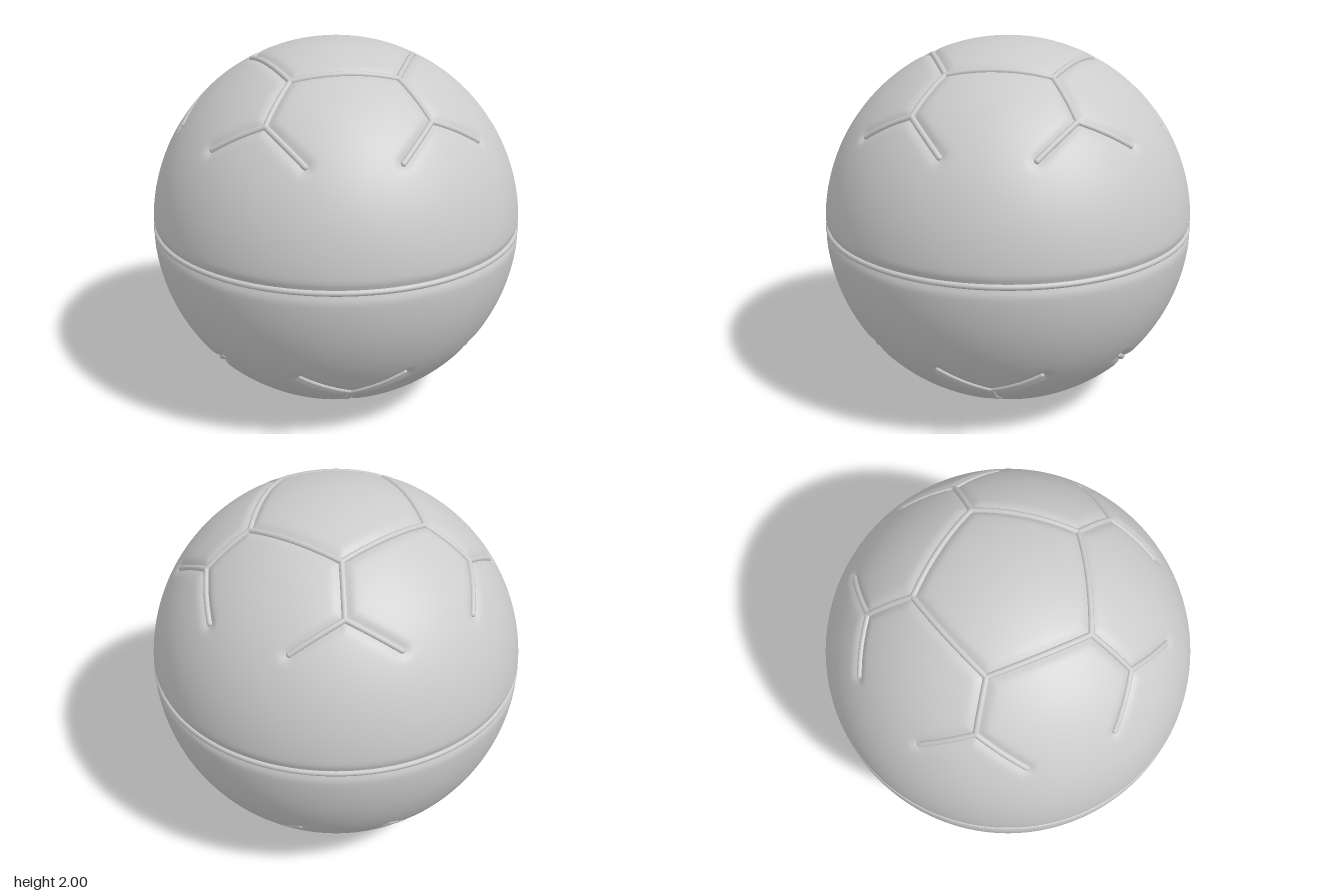
import * as THREE from 'three';
import { mergeVertices } from 'three/addons/utils/BufferGeometryUtils.js';

const PIPE = 0.0155;      // piping radius
const SEAT = 0.985;       // distance of the piping from the ball centre
const DIP = 0.017;        // depth of the channel beside the piping
const WIDTH = 0.032;      // softness of the channel

// Point on the unit sphere; azimuth 0 points to the back (-z)
function onSphere(polarDeg, azimuthDeg) {
  const p = THREE.MathUtils.degToRad(polarDeg), a = THREE.MathUtils.degToRad(azimuthDeg);
  return new THREE.Vector3(Math.sin(p) * Math.sin(a), Math.cos(p), -Math.sin(p) * Math.cos(a));
}

// Seam network: a pentagon around each pole with five forked spokes
function seamNetwork() {
  const arcs = [], nodes = [];
  for (const flip of [1, -1]) {
    const at = (p, a) => onSphere(p, a).multiply(new THREE.Vector3(1, flip, flip));
    for (let i = 0; i < 5; i++) {
      const a = i * 72;
      const corner = at(27.7, a), fork = at(44.6, a);
      const tipA = at(55.1, a - 19.2), tipB = at(55.1, a + 19.2);
      arcs.push([corner, at(27.7, a + 72)], [corner, fork], [fork, tipA], [fork, tipB]);
      nodes.push(corner, fork, tipA, tipB);
    }
  }
  return { arcs, nodes };
}

// Smooth ball pressed in along every seam
function ballGeometry(arcs) {
  const geo = new THREE.BoxGeometry(2, 2, 2, 96, 96, 96);
  geo.deleteAttribute('normal');
  geo.deleteAttribute('uv');
  const pos = geo.attributes.position;
  const v = new THREE.Vector3(), q = new THREE.Vector3();
  const lines = arcs.map(([a, b]) => new THREE.Line3(a, b));
  const even = (c) => Math.tan(c * Math.PI / 4);
  for (let i = 0; i < pos.count; i++) {
    v.fromBufferAttribute(pos, i);
    v.set(even(v.x), even(v.y), even(v.z)).normalize();
    let d = Math.abs(Math.asin(v.y));
    for (const line of lines) {
      line.closestPointToPoint(v, true, q);
      d = Math.min(d, q.normalize().distanceTo(v));
    }
    v.multiplyScalar(1 - DIP * Math.exp(-((d / WIDTH) ** 2)));
    pos.setXYZ(i, v.x, v.y, v.z);
  }
  const merged = mergeVertices(geo, 1e-5);
  merged.computeVertexNormals();
  return merged;
}

export function createModel() {
  const model = new THREE.Group();
  model.name = 'ball';
  const material = new THREE.MeshStandardMaterial({ color: 0xcccccc });
  const add = (geometry, name, parent) => {
    const mesh = new THREE.Mesh(geometry, material);
    mesh.name = name;
    parent.add(mesh);
    return mesh;
  };
  const { arcs, nodes } = seamNetwork();

  // Ball skin
  add(ballGeometry(arcs), 'ballSkin', model).position.y = 1;

  // Piping lying in the seams
  const piping = new THREE.Group();
  piping.name = 'seamPiping';
  piping.position.y = 1;
  model.add(piping);
  for (const [a, b] of arcs) {
    const points = [];
    for (let i = 0; i <= 8; i++) {
      points.push(a.clone().lerp(b, i / 8).setLength(SEAT));
    }
    add(new THREE.TubeGeometry(new THREE.CatmullRomCurve3(points), 14, PIPE, 10), 'seam', piping);
  }

  // Rounded joints and seam ends
  const joint = new THREE.SphereGeometry(PIPE, 12, 8);
  for (const n of nodes) {
    add(joint, 'seamJoint', piping).position.copy(n).multiplyScalar(SEAT);
  }

  // Ring around the middle
  add(new THREE.TorusGeometry(SEAT, PIPE, 10, 180), 'equatorSeam', piping).rotation.x = Math.PI / 2;

  return model;
}
